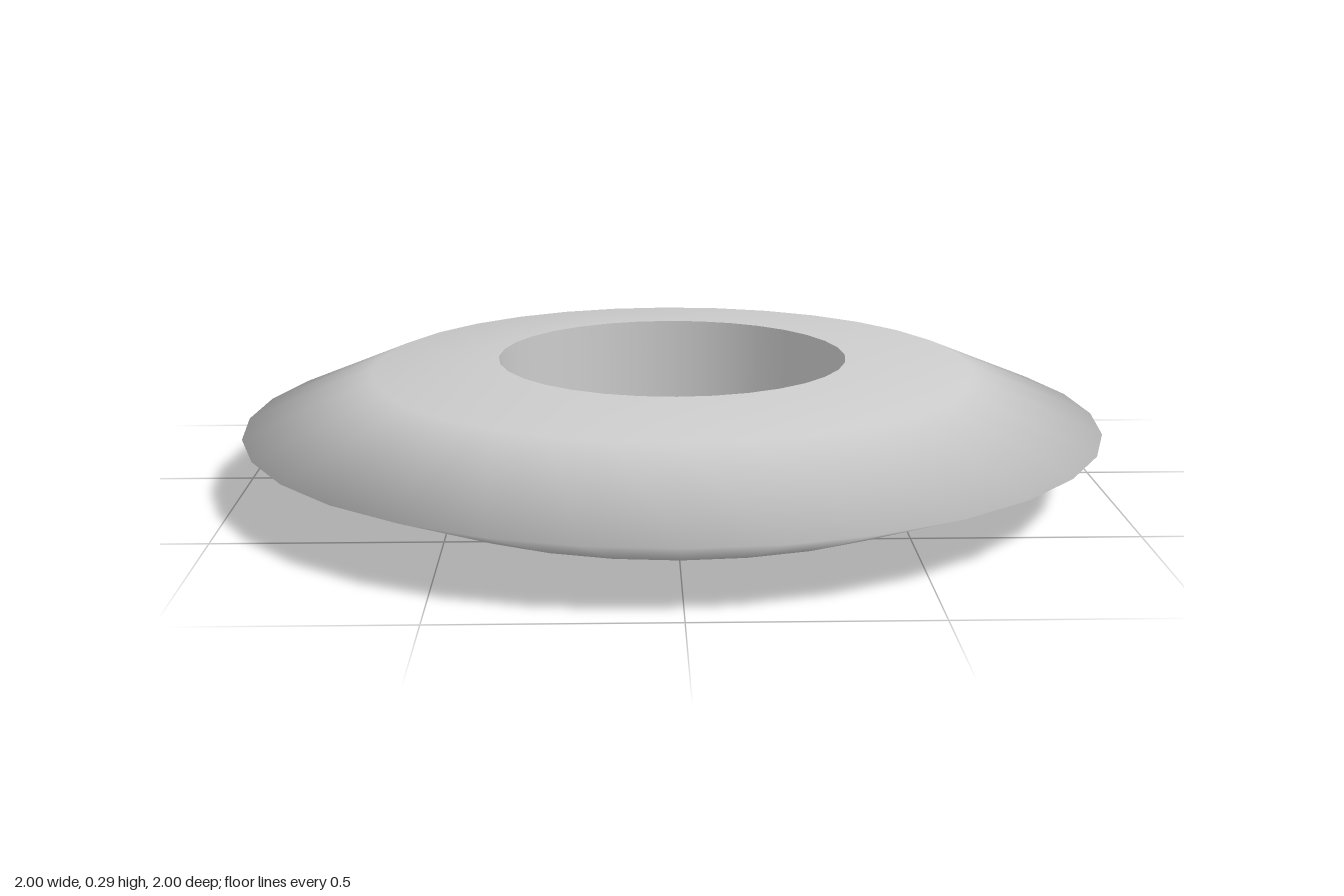
import * as THREE from 'three';

const SIDES = 32;
const HEIGHT = 0.294;
const HOLE_RADIUS = 0.408;

// Revolve a profile of [radius, height] points around the y axis
function revolve(name, profile, material) {
  const points = profile.map(([r, y]) => new THREE.Vector2(r, y));
  const mesh = new THREE.Mesh(new THREE.LatheGeometry(points, SIDES), material);
  mesh.name = name;
  return mesh;
}

export function createModel() {
  const group = new THREE.Group();
  group.name = 'ringDisc';
  const material = new THREE.MeshStandardMaterial({ color: 0xcccccc });

  // Smooth outer body: underside, bevel to a thin rim, bevel back to the top
  const lower = [[HOLE_RADIUS, 0], [0.703, 0.023]];
  const upper = lower.map(([r, y]) => [r, HEIGHT - y]).reverse();
  group.add(revolve('ringBody', [...lower, [1, HEIGHT / 2], ...upper], material));

  // Straight wall of the hole, with sharp edges where it meets the body
  group.add(revolve('holeWall', [[HOLE_RADIUS, HEIGHT], [HOLE_RADIUS, 0]], material));

  return group;
}
